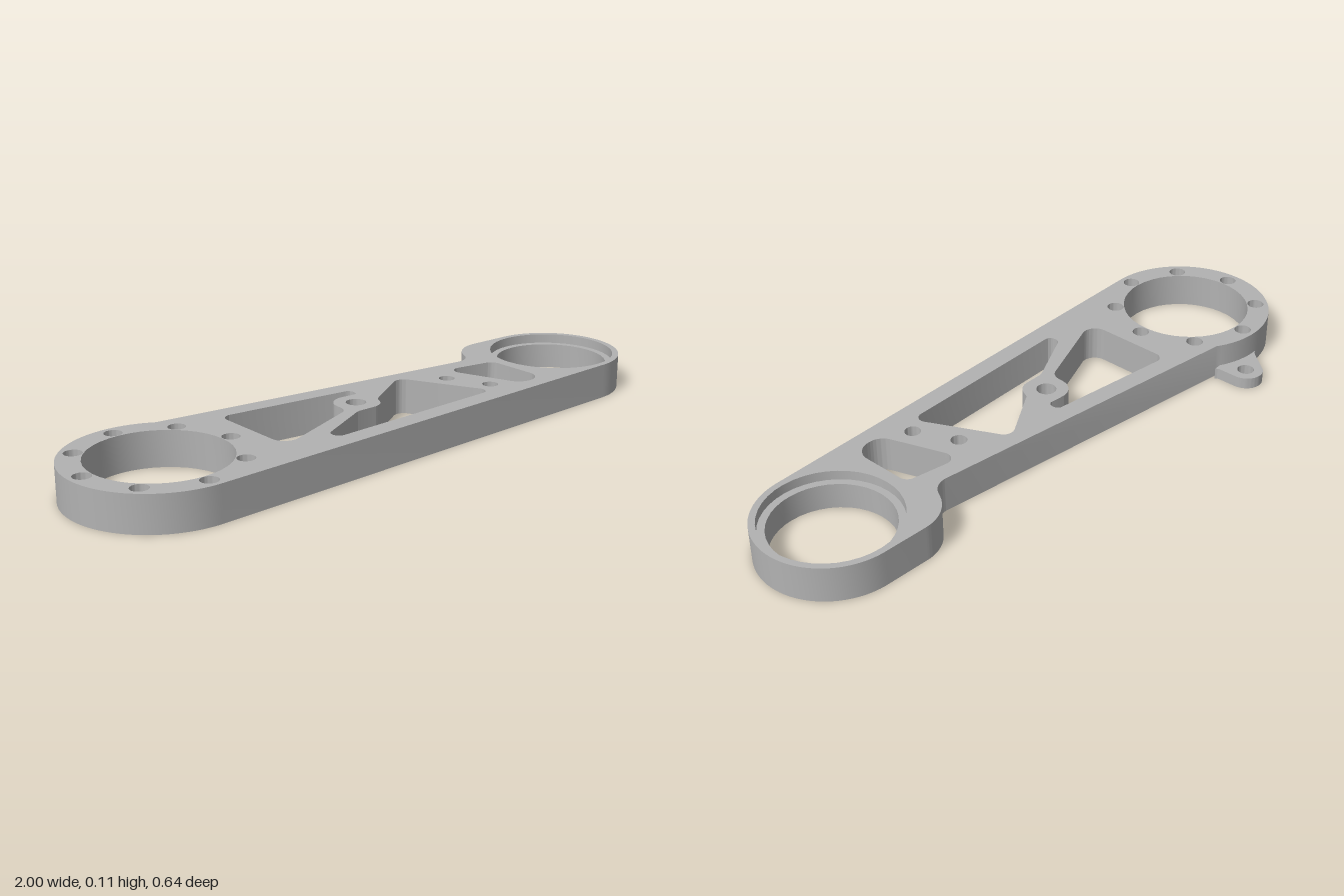
import * as THREE from 'three';
import { toCreasedNormals } from 'three/addons/utils/BufferGeometryUtils.js';

const HEIGHT = 0.109;
const LUG_HEIGHT = 0.036;
const metal = new THREE.MeshStandardMaterial({ color: 0xb2b2b2 });
metal.name = 'grey metal';

// Outlines are lists of [x, z, cornerRadius]; corners are replaced by true arcs.
function roundedPath(points, path) {
  const pts = points.map(([x, z]) => new THREE.Vector2(x, -z));
  const n = pts.length;
  pts.forEach((p, i) => {
    const r = points[i][2] || 0;
    if (r === 0) {
      if (i === 0) path.moveTo(p.x, p.y);
      else path.lineTo(p.x, p.y);
      return;
    }
    const u = pts[(i + n - 1) % n].clone().sub(p).normalize();
    const v = pts[(i + 1) % n].clone().sub(p).normalize();
    const half = Math.acos(u.dot(v)) / 2;
    const t = r / Math.tan(half);
    const c = u.clone().add(v).normalize().multiplyScalar(r / Math.sin(half)).add(p);
    const a = p.clone().addScaledVector(u, t);
    const b = p.clone().addScaledVector(v, t);
    if (i === 0) path.moveTo(a.x, a.y);
    path.absarc(c.x, c.y, r, Math.atan2(a.y - c.y, a.x - c.x),
      Math.atan2(b.y - c.y, b.x - c.x), u.cross(v) > 0);
  });
  path.closePath();
  return path;
}

// Points along an arc, angles in degrees seen from above
function arcPoints(x, z, r, from, to, steps) {
  return Array.from({ length: steps + 1 }, (_, i) => {
    const a = THREE.MathUtils.degToRad(from + (to - from) * i / steps);
    return [x + r * Math.cos(a), z - r * Math.sin(a), 0];
  });
}

function circle(x, z, r, path = new THREE.Path()) {
  path.absarc(x, -z, r, 0, Math.PI * 2, false);
  return path;
}

function slab(name, shape, y0, y1) {
  const geo = new THREE.ExtrudeGeometry(shape, { depth: y1 - y0, bevelEnabled: false, curveSegments: 20 });
  geo.rotateX(-Math.PI / 2);
  geo.translate(0, y0, 0);
  const mesh = new THREE.Mesh(toCreasedNormals(geo, 0.5), metal);
  mesh.name = name;
  return mesh;
}

// A ring that narrows a hole over part of its depth, leaving a counterbore
function stepRing(name, x, z, outer, inner, y0, y1) {
  const shape = circle(x, z, outer, new THREE.Shape());
  shape.holes.push(circle(x, z, inner));
  return slab(name, shape, y0, y1);
}

export function createModel() {
  const group = new THREE.Group();
  group.name = 'linkArm';
  const big = [-0.73, 0.047];
  const small = [0.783, 0.043];

  // Arm outline: large end, straight lower edge, small end, waisted shoulder
  const arm = roundedPath([
    ...arcPoints(...big, 0.27, 59, 272, 56),
    ...arcPoints(...small, 0.217, -88, 90, 44),
    [0.57, -0.18, 0.13],
    [0.505, -0.057, 0.06],
  ], new THREE.Shape());

  // Bearing bores
  arm.holes.push(circle(...big, 0.202), circle(...small, 0.198));

  // Lightening pockets
  const pockets = [
    [[-0.428, -0.107, 0.03], [0.008, -0.056, 0.018], [0.005, -0.017, 0.015],
      [-0.112, -0.027, 0.06], [-0.118, 0.078, 0.04], [-0.428, 0.2, 0.042]],
    [[-0.281, 0.2, 0.02], [-0.1, 0.108, 0.04], [-0.005, 0.107, 0.05],
      [0.02, 0.056, 0.02], [0.198, -0.055, 0.032], [0.334, 0.217, 0.025], [-0.281, 0.239, 0.02]],
    [[0.366, -0.022, 0.03], [0.548, 0.008, 0.03], [0.55, 0.22, 0.055], [0.455, 0.222, 0.05]],
  ];
  pockets.forEach((p) => arm.holes.push(roundedPath(p, new THREE.Path())));

  // Bolt circle, counterbored from above
  for (let i = 0; i < 8; i++) {
    const a = i * Math.PI / 4;
    const x = big[0] + 0.23 * Math.cos(a);
    const z = big[1] + 0.23 * Math.sin(a);
    arm.holes.push(circle(x, z, 0.026));
    group.add(stepRing('boltSeat', x, z, 0.026, 0.015, 0, 0.06));
  }

  // Web holes, counterbored from below
  [[-0.05, 0.041, 0.045, 0.03], [0.313, 0.043, 0.033, 0.024], [0.372, 0.171, 0.033, 0.024]]
    .forEach(([x, z, outer, inner]) => {
      arm.holes.push(circle(x, z, outer));
      group.add(stepRing('webHoleSeat', x, z, outer, inner, 0.05, HEIGHT));
    });

  group.add(slab('armBody', arm, 0, HEIGHT));
  group.add(stepRing('bearingLedge', ...small, 0.198, 0.176, 0, 0.08));

  // Thin mounting lug at the back of the large end
  const lug = roundedPath([
    [-0.555, -0.172],
    [-0.585, -0.2, 0.02],
    ...arcPoints(-0.64, -0.267, 0.054, 0, 131, 20),
    [-0.74, -0.228, 0.06],
    [-0.79, -0.205],
    [-0.73, -0.214],
    [-0.65, -0.19],
  ], new THREE.Shape());
  lug.holes.push(circle(-0.64, -0.267, 0.026));
  group.add(slab('mountingLug', lug, 0, LUG_HEIGHT));

  return group;
}
